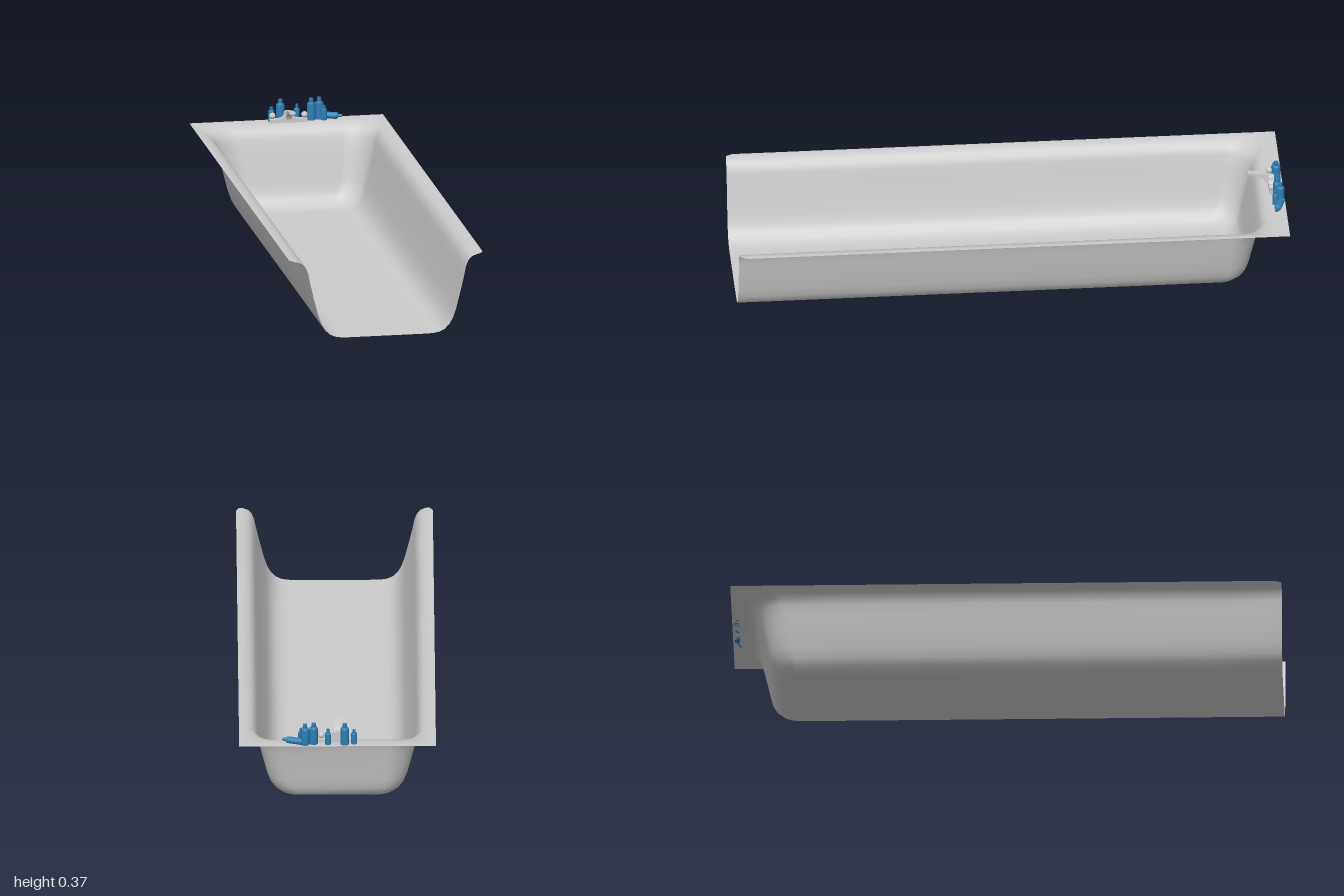
import * as THREE from 'three';

const grey = new THREE.MeshStandardMaterial({ color: 0xcccccc });
const shell = new THREE.MeshStandardMaterial({ color: 0xcccccc, side: THREE.DoubleSide });
const blue = new THREE.MeshStandardMaterial({ color: 0x2c7fb3 });
const RIM = 0.292;

function add(parent, name, geometry, material, x = 0, y = 0, z = 0) {
  const mesh = new THREE.Mesh(geometry, material);
  mesh.name = name;
  mesh.position.set(x, y, z);
  parent.add(mesh);
  return mesh;
}

// Thin shell lofted from U-shaped rings: [half width, back z, corner radius, y, front z]
function tubGeometry() {
  const rings = [
    [0.357, -1, 0, RIM, 0.975],
    [0.345, -0.975, 0.02, RIM, 0.998],
    [0.33, -0.945, 0.06, 0.289, 1],
    [0.313, -0.925, 0.09, 0.282, 1],
    [0.3, -0.91, 0.1, 0.268, 1],
    [0.291, -0.9, 0.1, 0.245, 1],
    [0.283, -0.89, 0.1, 0.205, 1],
    [0.27, -0.877, 0.09, 0.15, 1],
    [0.255, -0.864, 0.08, 0.09, 1],
    [0.243, -0.855, 0.08, 0.055, 1],
    [0.23, -0.845, 0.08, 0.032, 1],
    [0.213, -0.828, 0.07, 0.015, 1],
    [0.193, -0.808, 0.06, 0.005, 1],
    [0.17, -0.785, 0.05, 0.001, 1],
    [0.14, -0.755, 0.03, 0, 1],
    [0, -0.65, 0, 0, 1],
  ];
  const arc = 12, along = 8;
  const pos = [], idx = [];
  for (const [w, back, r, y, front] of rings) {
    const half = [];
    for (let i = 0; i < along; i++) half.push([w, front + (back + r - front) * i / along]);
    for (let i = 0; i <= arc; i++) {
      const a = i / arc * Math.PI / 2;
      half.push([w - r + r * Math.cos(a), back + r - r * Math.sin(a)]);
    }
    for (const [x, z] of half) pos.push(x, y, z);
    for (const [x, z] of half.reverse()) pos.push(-x, y, z);
  }
  const n = 2 * (along + arc + 1);
  for (let j = 0; j < rings.length - 1; j++) {
    for (let i = 0; i < n - 1; i++) {
      const a = j * n + i, b = a + n;
      idx.push(a, a + 1, b, a + 1, b + 1, b);
    }
  }
  const g = new THREE.BufferGeometry();
  g.setAttribute('position', new THREE.Float32BufferAttribute(pos, 3));
  g.setIndex(idx);
  g.computeVertexNormals();
  return g;
}

// Bottle with rounded shoulder and narrow cap, standing on y = 0
function bottleGeometry(r, body, neck, top) {
  const s = r * 0.5;
  const profile = [[0, 0], [r, 0], [r, 0], [r, body - s], [r - s * 0.3, body - s * 0.3],
    [r - s, body], [neck, body], [neck, body], [neck, top], [neck, top], [0, top]];
  return new THREE.LatheGeometry(profile.map(p => new THREE.Vector2(...p)), 20);
}

function faucet() {
  const g = new THREE.Group();
  g.name = 'faucet';
  add(g, 'faucetBase', new THREE.BoxGeometry(0.138, 0.013, 0.022), grey, 0, RIM + 0.006, -0.958);

  // Flared bell rising from the base
  const bell = new THREE.Shape();
  bell.moveTo(-0.048, 0);
  bell.bezierCurveTo(-0.02, 0.003, -0.018, 0.008, -0.014, 0.026);
  bell.quadraticCurveTo(0, 0.034, 0.014, 0.026);
  bell.bezierCurveTo(0.018, 0.008, 0.02, 0.003, 0.048, 0);
  const bellGeo = new THREE.ExtrudeGeometry(bell, { depth: 0.02, bevelEnabled: false, curveSegments: 8 });
  add(g, 'faucetBody', bellGeo, grey, 0, 0.304, -0.968);

  // Curved flat spout, drawn from the side and extruded across
  const side = new THREE.Shape();
  side.moveTo(-0.968, 0.304);
  side.bezierCurveTo(-0.955, 0.345, -0.92, 0.343, -0.873, 0.349);
  side.lineTo(-0.871, 0.341);
  side.bezierCurveTo(-0.915, 0.337, -0.935, 0.325, -0.94, 0.304);
  const spout = new THREE.ExtrudeGeometry(side, { depth: 0.02, bevelEnabled: false, curveSegments: 12 });
  spout.rotateY(-Math.PI / 2);
  add(g, 'faucetSpout', spout, grey, 0.01, 0, 0);

  for (const s of [-1, 1]) {
    add(g, 'faucetHandle', new THREE.SphereGeometry(0.012, 20, 14), grey, s * 0.059, 0.317, -0.956);
  }
  return g;
}

export function createModel() {
  const model = new THREE.Group();
  model.name = 'bathtub';
  add(model, 'tubShell', tubGeometry(), shell);
  model.add(faucet());

  // Bottles lined up on the back ledge
  const large = bottleGeometry(0.0155, 0.066, 0.008, 0.08);
  const small = bottleGeometry(0.011, 0.045, 0.005, 0.06);
  const tiny = bottleGeometry(0.011, 0.043, 0.006, 0.054);
  add(model, 'smallBottle', tiny, blue, -0.06, RIM, -0.974);
  add(model, 'largeBottle', large, blue, -0.026, RIM, -0.979);
  add(model, 'smallBottle', small, blue, 0.035, RIM, -0.979);
  add(model, 'largeBottle', large, blue, 0.087, RIM, -0.974);
  add(model, 'largeBottle', large, blue, 0.118, RIM, -0.982);
  add(model, 'smallBottle', tiny, blue, 0.132, RIM, -0.964);

  // One bottle lying on its side
  const lying = add(model, 'lyingBottle', bottleGeometry(0.0125, 0.062, 0.006, 0.076), blue, 0.127, 0.304, -0.986);
  lying.quaternion.setFromUnitVectors(new THREE.Vector3(0, 1, 0), new THREE.Vector3(0.95, 0, 0.31).normalize());
  return model;
}
